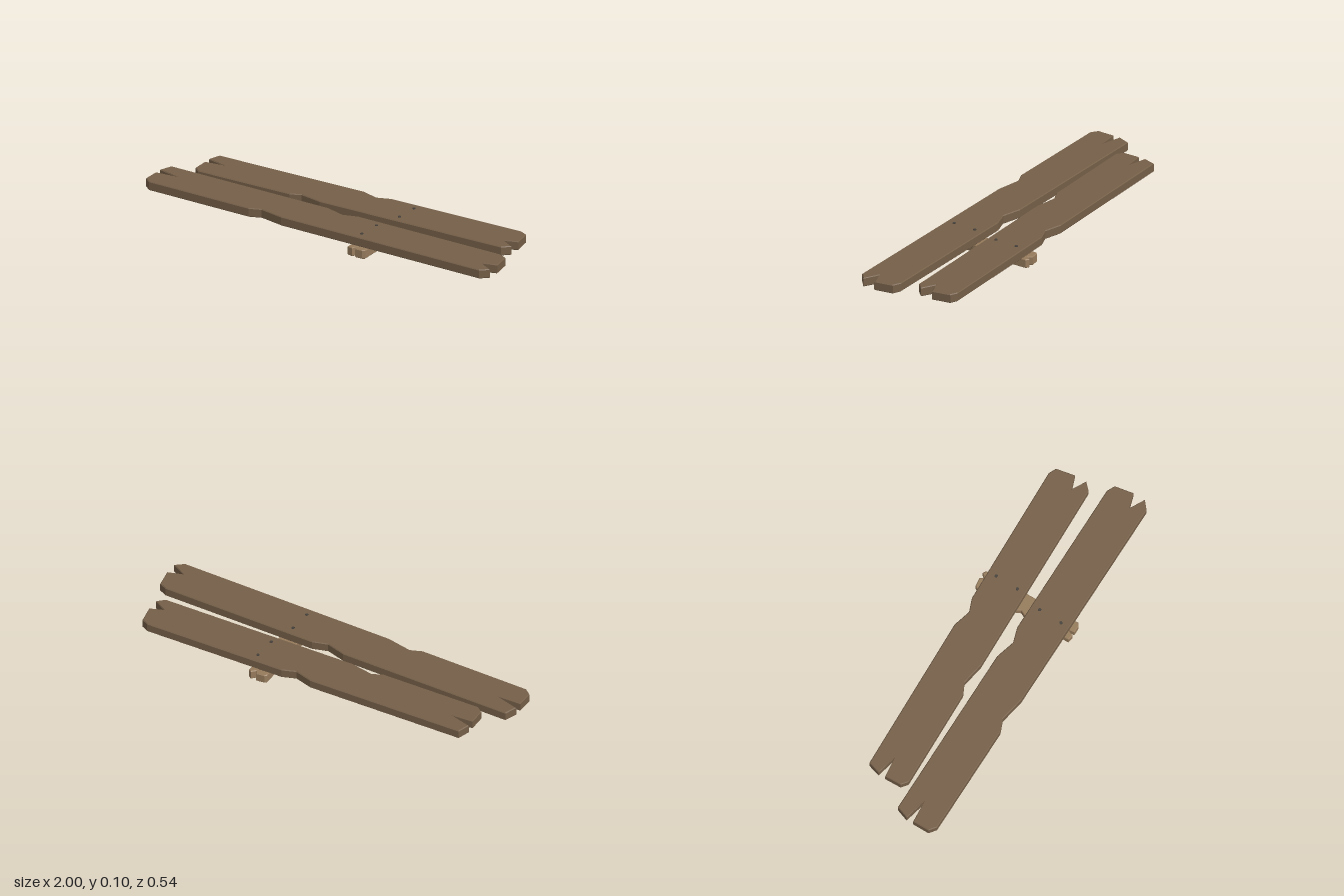
import * as THREE from 'three';

// Weathered board outline seen from above: split ends and chipped long edges
const OUTLINE = [
  [-0.88, -0.107], [-0.056, -0.109], [0.035, -0.081], [0.104, -0.105], [0.848, -0.107], [0.885, -0.088],
  [0.901, 0.008], [0.832, 0.031], [0.901, 0.072], [0.864, 0.107], [-0.174, 0.107], [-0.291, 0.083],
  [-0.345, 0.107], [-0.869, 0.107], [-0.901, 0.08], [-0.901, -0.006], [-0.794, -0.015], [-0.901, -0.043],
];
const THICKNESS = 0.047;
const BEVEL = 0.004;

// Board lying flat, its underside on y = 0, stretched along and across
function boardGeometry(along, across) {
  const shape = new THREE.Shape(OUTLINE.map(([u, v]) => new THREE.Vector2(u * along, -v * across)));
  const geometry = new THREE.ExtrudeGeometry(shape, {
    depth: THICKNESS - 2 * BEVEL,
    bevelEnabled: true,
    bevelThickness: BEVEL,
    bevelSize: BEVEL,
    bevelOffset: -BEVEL,
    bevelSegments: 1,
  });
  geometry.translate(0, 0, BEVEL);
  geometry.rotateX(-Math.PI / 2);
  return geometry;
}

export function createModel() {
  const model = new THREE.Group();
  const plankWood = new THREE.MeshStandardMaterial({ color: 0x755f48 });
  plankWood.name = 'plank wood';
  const paleWood = new THREE.MeshStandardMaterial({ color: 0x967b5c });
  paleWood.name = 'pale wood';
  const iron = new THREE.MeshStandardMaterial({ color: 0x45403b });
  iron.name = 'nail iron';

  function addBoard(name, material, along, across, position, turn) {
    const board = new THREE.Mesh(boardGeometry(along, across), material);
    board.name = name;
    board.position.set(...position);
    board.rotation.y = turn;
    model.add(board);
  }

  // Two long planks, slightly askew, on one cross batten
  addBoard('backPlank', plankWood, 1, 1, [0.032, 0.049, -0.1325], 0.0108);
  addBoard('frontPlank', plankWood, 1.11, 1.01, [0, 0.049, 0.131], -0.018);
  addBoard('crossBatten', paleWood, 0.299, 0.467, [0.255, 0, 0], Math.PI / 2);

  // Nail heads above the batten
  const nailGeometry = new THREE.CylinderGeometry(0.008, 0.008, 0.02, 8);
  for (const [x, z] of [[0.292, -0.195], [0.287, -0.073], [0.25, 0.075], [0.245, 0.198]]) {
    const nail = new THREE.Mesh(nailGeometry, iron);
    nail.name = 'nail';
    nail.position.set(x, 0.0895, z);
    model.add(nail);
  }
  return model;
}
